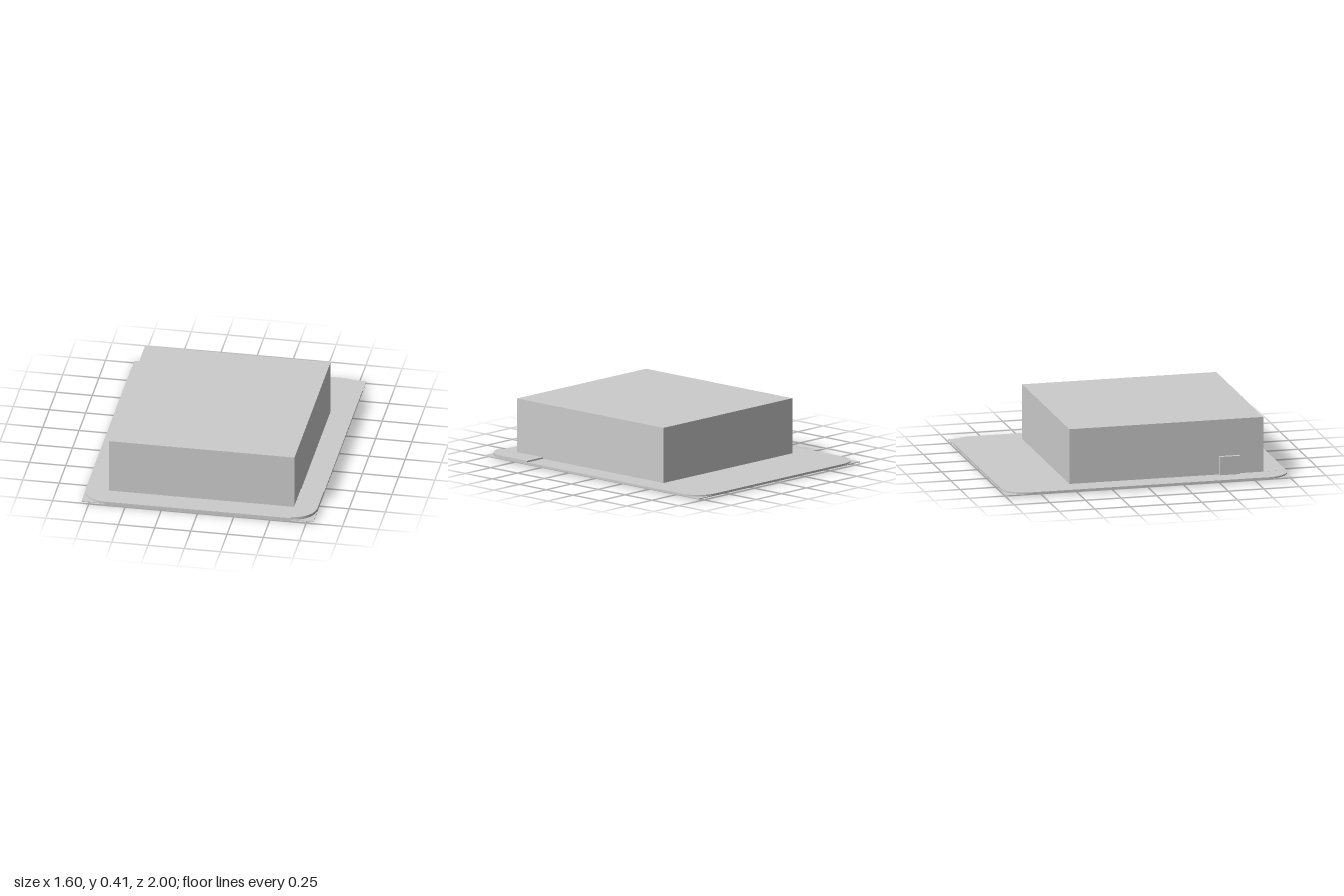
import * as THREE from 'three';

const material = new THREE.MeshStandardMaterial({ color: 0xcccccc, flatShading: true });

function add(group, name, geometry) {
  const mesh = new THREE.Mesh(geometry, material);
  mesh.name = name;
  group.add(mesh);
}

// Box given by its minimum and maximum corners
function box(x0, x1, y0, y1, z0, z1) {
  return new THREE.BoxGeometry(x1 - x0, y1 - y0, z1 - z0)
    .translate((x0 + x1) / 2, (y0 + y1) / 2, (z0 + z1) / 2);
}

// Flat slab; radii are for the corners back right, back left, front left, front right
function slab(x0, x1, y0, y1, z0, z1, [a, b, c, d]) {
  const s = new THREE.Shape();
  // shape y is -z, so the front edge is at -z1
  s.moveTo(x0 + d, -z1);
  s.lineTo(x1 - c, -z1);
  if (c) s.absarc(x1 - c, -z1 + c, c, -Math.PI / 2, 0);
  s.lineTo(x1, -z0 - b);
  if (b) s.absarc(x1 - b, -z0 - b, b, 0, Math.PI / 2);
  s.lineTo(x0 + a, -z0);
  if (a) s.absarc(x0 + a, -z0 - a, a, Math.PI / 2, Math.PI);
  s.lineTo(x0, -z1 + d);
  if (d) s.absarc(x0 + d, -z1 + d, d, Math.PI, Math.PI * 1.5);
  return new THREE.ExtrudeGeometry(s, { depth: y1 - y0, bevelEnabled: false, curveSegments: 12 })
    .rotateX(-Math.PI / 2).translate(0, y0, 0);
}

export function createModel() {
  const model = new THREE.Group();
  model.name = 'buildingOnPlot';

  // Ground: square-cornered plate with a rounded pavement on it
  add(model, 'groundPlate', box(-0.8, 0.8, 0.012, 0.017, -1, 1));
  add(model, 'pavement', slab(-0.8, 0.8, 0.017, 0.027, -1, 1, [0.16, 0.16, 0.16, 0.16]));

  // Strip along the front edge, reaching below the plate
  add(model, 'frontStrip', box(-0.64, 0.64, 0, 0.0275, 0.84, 1));

  // Raised corner pad with one rounded corner
  add(model, 'cornerPad', slab(0.64, 0.8, 0.027, 0.037, 0.6, 1, [0, 0, 0.159, 0]));

  // Building and its side door
  add(model, 'building', box(-0.64, 0.64, 0.02, 0.41, -0.52, 0.84));
  add(model, 'sideDoor', box(-0.665, -0.64, 0.027, 0.155, 0.53, 0.67));

  return model;
}
